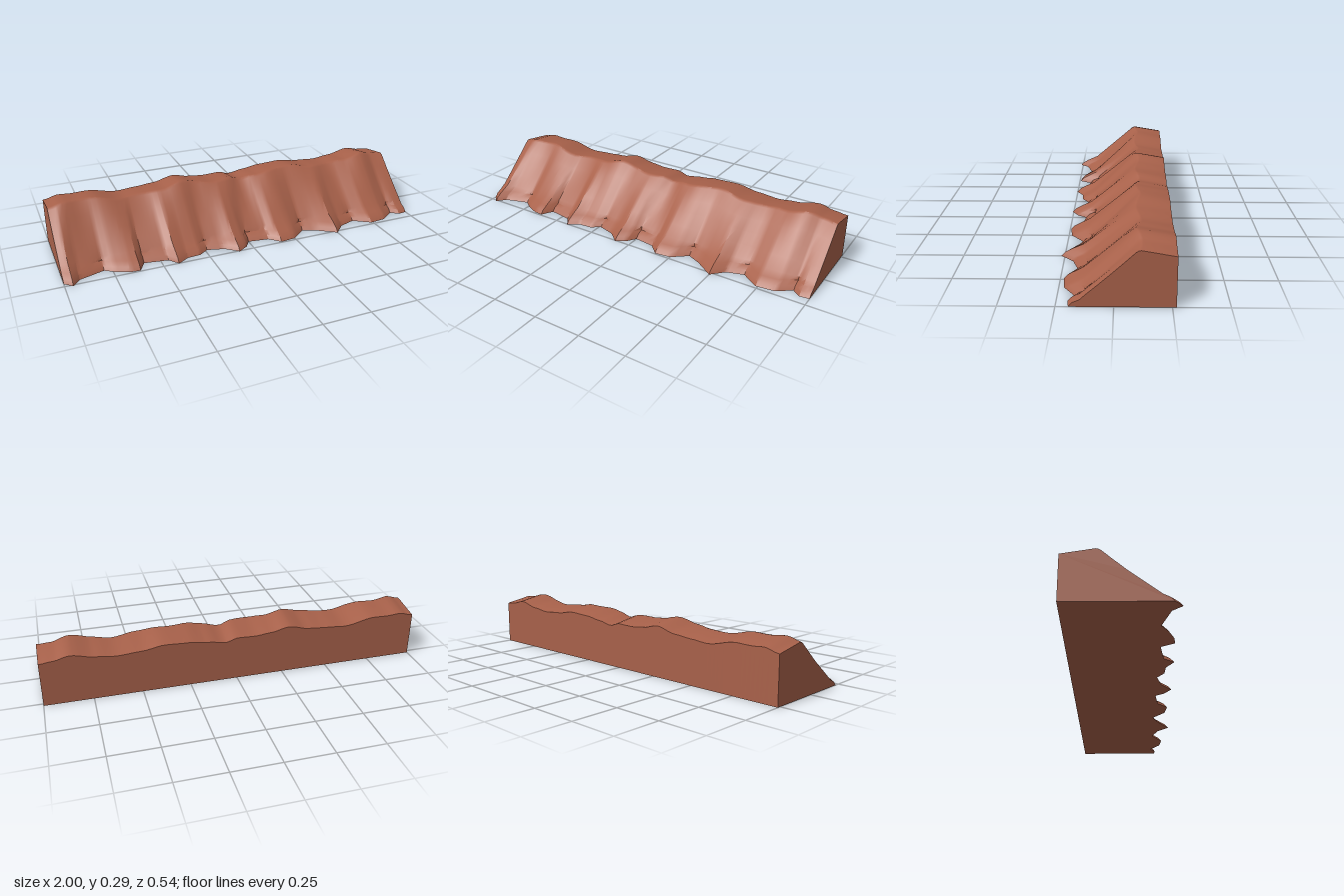
import * as THREE from 'three';
import { toCreasedNormals } from 'three/addons/utils/BufferGeometryUtils.js';

// Ridge height and toe distance along the length, as [x, value]
const CREST = [[-1, .265], [-.92, .283], [-.85, .278], [-.77, .28], [-.6, .25], [-.5, .257], [-.4, .265],
  [-.28, .29], [-.18, .27], [-.1, .262], [0, .265], [.06, .247], [.15, .262], [.25, .275], [.38, .28],
  [.5, .262], [.62, .254], [.72, .265], [.85, .29], [.93, .272], [1, .264]];
const TOE = [[-1, .225], [-.96, .262], [-.92, .215], [-.79, .175], [-.74, .21], [-.67, .24], [-.62, .245],
  [-.585, .18], [-.46, .2], [-.42, .253], [-.36, .215], [-.29, .21], [-.24, .175], [-.15, .2], [-.085, .256],
  [-.03, .22], [0, .175], [.11, .19], [.165, .245], [.25, .235], [.33, .17], [.4, .2], [.5, .268],
  [.56, .205], [.65, .175], [.74, .235], [.83, .225], [.91, .17], [.95, .2], [1, .195]];

function sample(list, x, smooth) {
  let i = 0;
  while (i < list.length - 2 && x > list[i + 1][0]) i++;
  const [x0, a] = list[i], [x1, b] = list[i + 1];
  let t = THREE.MathUtils.clamp((x - x0) / (x1 - x0), 0, 1);
  if (smooth) t = t * t * (3 - 2 * t);
  return a + (b - a) * t;
}

// Cross-section at x as [z, y], from the bottom of the back over the ridge to the toe
function section(x) {
  const h = sample(CREST, x, true), f = sample(TOE, x, false);
  const t = (f - .17) / .09;
  const rz = -.115 - .011 * Math.cos((x - .06) * Math.PI * 2 / .29);
  const start = [rz + .022, h - .009], knee = [.115 + .035 * t, .05 + .015 * t];
  const slope = s => [
    start[0] + (knee[0] - start[0]) * s,
    start[1] + (knee[1] - start[1]) * s - .004 * Math.sin(s * Math.PI) * (1 - t)];
  return [[-.268, 0], [-.268, h - .027], [rz, h], [rz + .01, h - .001], start,
    slope(.25), slope(.5), slope(.75), knee, [f - .05, .033 + .005 * t], [f - .018, .02], [f, 0]];
}

export function createModel() {
  const group = new THREE.Group();
  group.name = 'rockyEmbankment';
  const clay = new THREE.MeshStandardMaterial({ color: 0xa8614a });
  clay.name = 'red clay';

  // Columns at even steps plus every corner of the toe
  const xs = [...new Set([...Array.from({ length: 81 }, (_, i) => +(i / 40 - 1).toFixed(3)), ...TOE.map(p => p[0])])]
    .sort((a, b) => a - b);
  const pos = [], idx = [];
  const n = section(0).length;
  xs.forEach(x => section(x).forEach(([z, y]) => pos.push(x, y, z)));

  // Skin around the loop, including the underside
  for (let i = 0; i < xs.length - 1; i++) {
    for (let j = 0; j < n; j++) {
      const a = i * n + j, b = i * n + (j + 1) % n, c = a + n, d = b + n;
      idx.push(a, b, c, b, d, c);
    }
  }
  // Flat end walls
  const ends = THREE.ShapeUtils.triangulateShape(section(1).map(p => new THREE.Vector2(p[0], p[1])), []);
  const last = (xs.length - 1) * n;
  [0, last].forEach(base => {
    const pts = section(base ? 1 : -1);
    ends.forEach(([a, b, c]) => {
      const area = (pts[b][0] - pts[a][0]) * (pts[c][1] - pts[a][1]) - (pts[c][0] - pts[a][0]) * (pts[b][1] - pts[a][1]);
      // A positive area in (z, y) faces -x
      const flip = (area > 0) !== (base === 0);
      idx.push(base + a, base + (flip ? c : b), base + (flip ? b : c));
    });
  });

  const geo = new THREE.BufferGeometry();
  geo.setAttribute('position', new THREE.Float32BufferAttribute(pos, 3));
  geo.setIndex(idx);
  const mesh = new THREE.Mesh(toCreasedNormals(geo, .5), clay);
  mesh.name = 'erodedSlope';
  group.add(mesh);
  return group;
}
